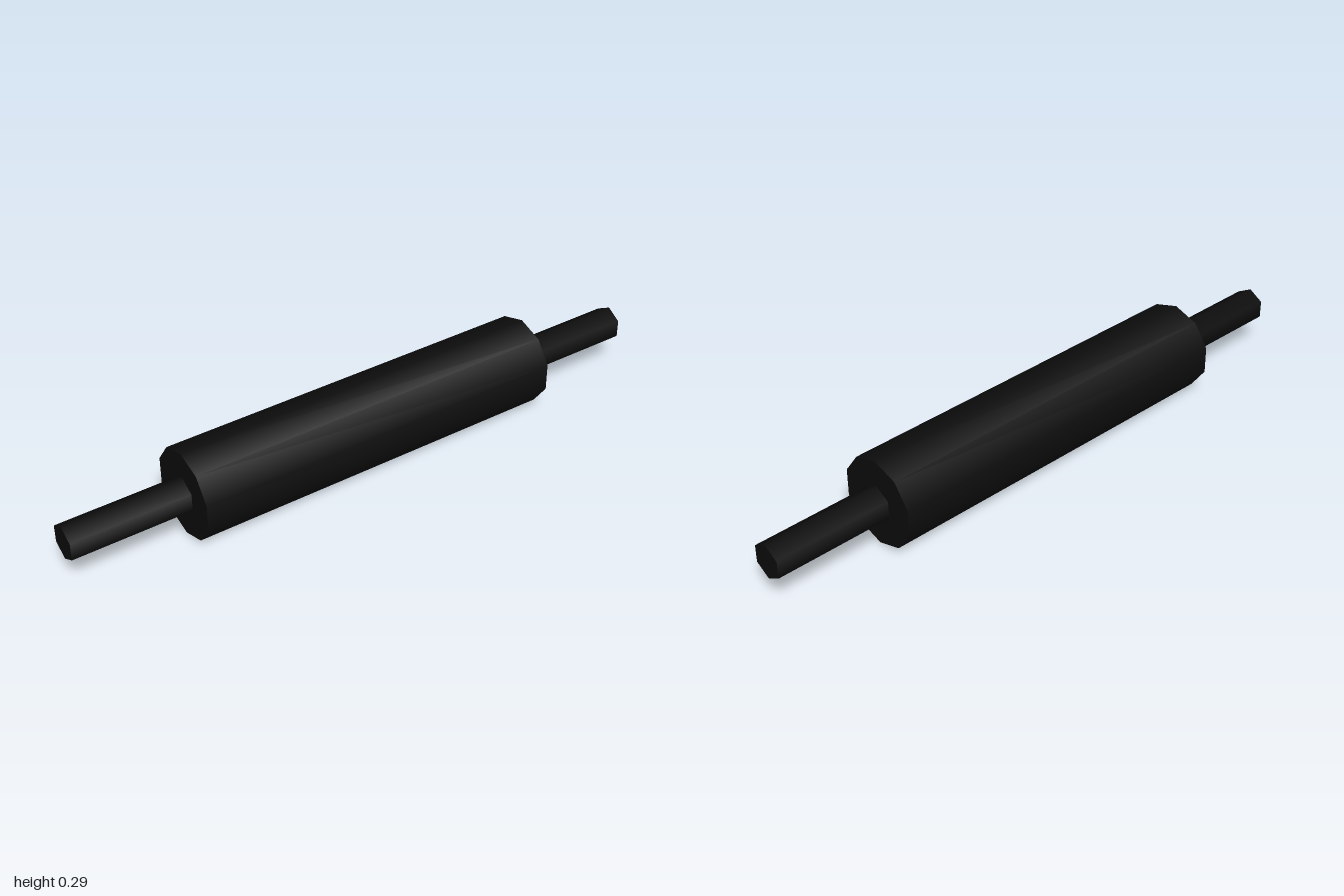
import * as THREE from 'three';

const AXIS_Y = 0.143;

// Cylinder lying along x, with a corner pointing straight up
function rod(name, radius, length, sides, x, material) {
  const geometry = new THREE.CylinderGeometry(radius, radius, length, sides, 1, false, Math.PI / 2);
  geometry.rotateZ(Math.PI / 2);
  const mesh = new THREE.Mesh(geometry, material);
  mesh.name = name;
  mesh.position.set(x, AXIS_Y, 0);
  return mesh;
}

export function createModel() {
  const group = new THREE.Group();
  group.name = 'roller';
  const black = new THREE.MeshStandardMaterial({ color: 0x0d0d0d });
  black.name = 'black';

  // Ten-sided barrel
  group.add(rod('barrel', 0.143, 1.24, 10, 0, black));

  // Six-sided handle at each end
  for (const side of [1, -1]) {
    group.add(rod(side > 0 ? 'leftHandle' : 'rightHandle', 0.057, 0.38, 6, side * 0.81, black));
  }
  return group;
}
